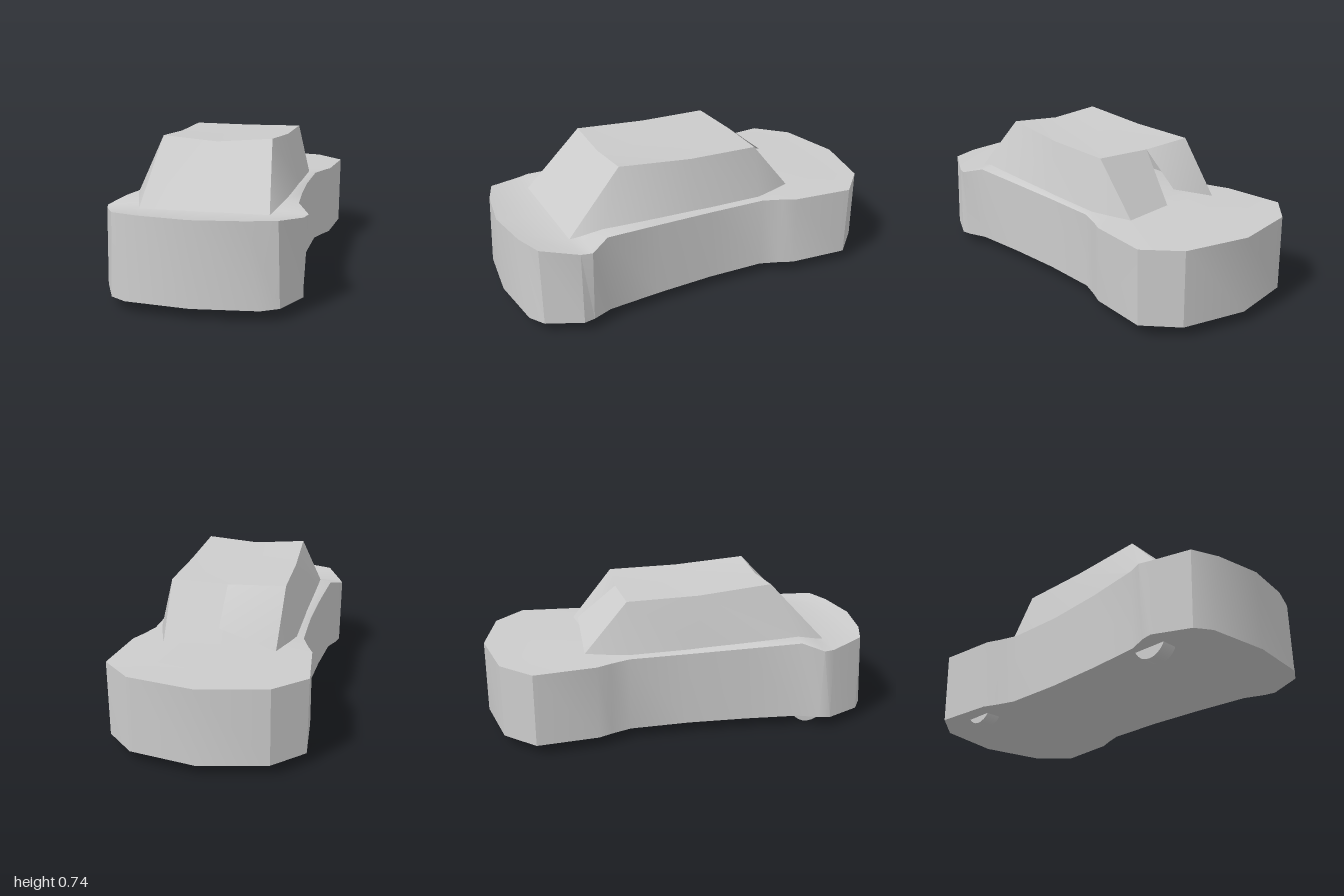
import * as THREE from 'three';
import { toCreasedNormals } from 'three/addons/utils/BufferGeometryUtils.js';

const material = new THREE.MeshStandardMaterial({ color: 0xcccccc, side: THREE.DoubleSide });

// Mesh from polygons (each a loop of [x, y, z] corners, fanned into triangles)
function panelMesh(name, polygons, crease = 0.5) {
  const pos = [];
  const [ab, ac] = [new THREE.Vector3(), new THREE.Vector3()];
  for (const poly of polygons) {
    const p = poly.map((c) => new THREE.Vector3(...c));
    for (let i = 1; i < p.length - 1; i++) {
      ab.subVectors(p[i], p[0]);
      ac.subVectors(p[i + 1], p[0]);
      if (ab.cross(ac).length() < 1e-7) continue;
      for (const v of [p[0], p[i], p[i + 1]]) pos.push(v.x, v.y, v.z);
    }
  }
  const geo = new THREE.BufferGeometry();
  geo.setAttribute('position', new THREE.Float32BufferAttribute(pos, 3));
  const mesh = new THREE.Mesh(toCreasedNormals(geo, crease), material);
  mesh.name = name;
  return mesh;
}

const flip = ([x, y, z]) => [-x, y, z];
const mirrored = (polys) => [...polys, ...polys.map((p) => p.map(flip).reverse())];

// Lower body: cross-sections from tail to nose
function createBody() {
  const floor = 0.055;
  // z, bottom half-width, top half-width, edge height, inner half-width, inner height
  const stations = [
    [-1, 0, 0, 0.43, 0, 0.43],
    [-0.93, 0.33, 0.33, 0.43, 0.2, 0.43],
    [-0.78, 0.475, 0.48, 0.43, 0.27, 0.432],
    [-0.47, 0.45, 0.45, 0.432, 0.28, 0.44],
    [-0.4, 0.42, 0.42, 0.433, 0.31, 0.44],
    [-0.3, 0.385, 0.385, 0.434, 0.35, 0.442],
    [0, 0.38, 0.38, 0.435, 0.35, 0.447],
    [0.3, 0.395, 0.395, 0.445, 0.355, 0.46],
    [0.58, 0.42, 0.42, 0.46, 0.36, 0.474],
    [0.68, 0.46, 0.48, 0.432, 0.33, 0.445],
    [0.735, 0.47, 0.465, 0.43, 0.31, 0.432],
    [0.91, 0.39, 0.38, 0.453, 0.2, 0.446],
    [0.96, 0.31, 0.24, 0.456, 0.12, 0.453],
    [0.995, 0, 0, 0.457, 0, 0.457],
  ];
  const rings = stations.map(([z, xb, xt, yt, xi, yi]) => {
    const half = [[xb, floor, z], [xt, yt, z], [xi, yi, z]];
    return [[0, floor, z], ...half, [0, yi, z], ...half.map(flip).reverse()];
  });
  const polys = [];
  for (let k = 0; k < rings.length - 1; k++) {
    const [r, s] = [rings[k], rings[k + 1]];
    for (let j = 0; j < 8; j++) {
      const n = (j + 1) % 8;
      polys.push([r[j], r[n], s[n], s[j]]);
    }
  }
  return panelMesh('body', polys);
}

// Cabin: pillars, side windows, roof, windshield and rear window
function createCabin() {
  const cabin = new THREE.Group();
  cabin.name = 'cabin';
  const base = [[0.28, 0.438, -0.51], [0.35, 0.44, -0.3], [0.35, 0.445, 0.07], [0.36, 0.475, 0.58], [0.31, 0.43, 0.735]];
  const roof = [[0.29, 0.7, -0.295], [0.285, 0.706, 0.07], [0.27, 0.737, 0.45]];
  const ridge = [[0, 0.695, -0.31], [0, 0.7, 0.07], [0, 0.715, 0.45]];
  const rearFoot = [0, 0.438, -0.47];
  const rearPeak = [0, 0.535, -0.51];

  cabin.add(panelMesh('cabinSides', mirrored([
    [base[0], roof[0], base[1]],
    [base[1], roof[0], roof[1], base[2]],
    [base[2], roof[1], roof[2], base[3]],
    [base[3], roof[2], base[4]],
  ])));
  cabin.add(panelMesh('roof', mirrored([0, 1].map((i) => [roof[i], ridge[i], ridge[i + 1], roof[i + 1]]))));
  cabin.add(panelMesh('windshield', mirrored([[roof[2], ridge[2], [0, 0.43, 0.735], base[4]]])));
  // The rear window is plain on one half and lifted to a peak on the other
  cabin.add(panelMesh('rearWindow', [[roof[0], base[0], rearFoot, ridge[0]]]));
  cabin.add(panelMesh('raisedRearPanel', [
    [flip(roof[0]), ridge[0], rearPeak],
    [flip(roof[0]), rearPeak, flip(base[0])],
  ]));
  return cabin;
}

// Wheels sit on one side only, mostly inside the body
function createWheel(name, y, z) {
  const geo = new THREE.CylinderGeometry(0.095, 0.095, 0.08, 24).rotateZ(Math.PI / 2);
  const wheel = new THREE.Mesh(geo, material);
  wheel.name = name;
  wheel.position.set(-0.338, y, z);
  return wheel;
}

export function createModel() {
  const car = new THREE.Group();
  car.name = 'car';
  car.add(createBody(), createCabin());
  car.add(createWheel('frontWheel', 0.095, 0.645), createWheel('rearWheel', 0.113, -0.6));
  return car;
}
